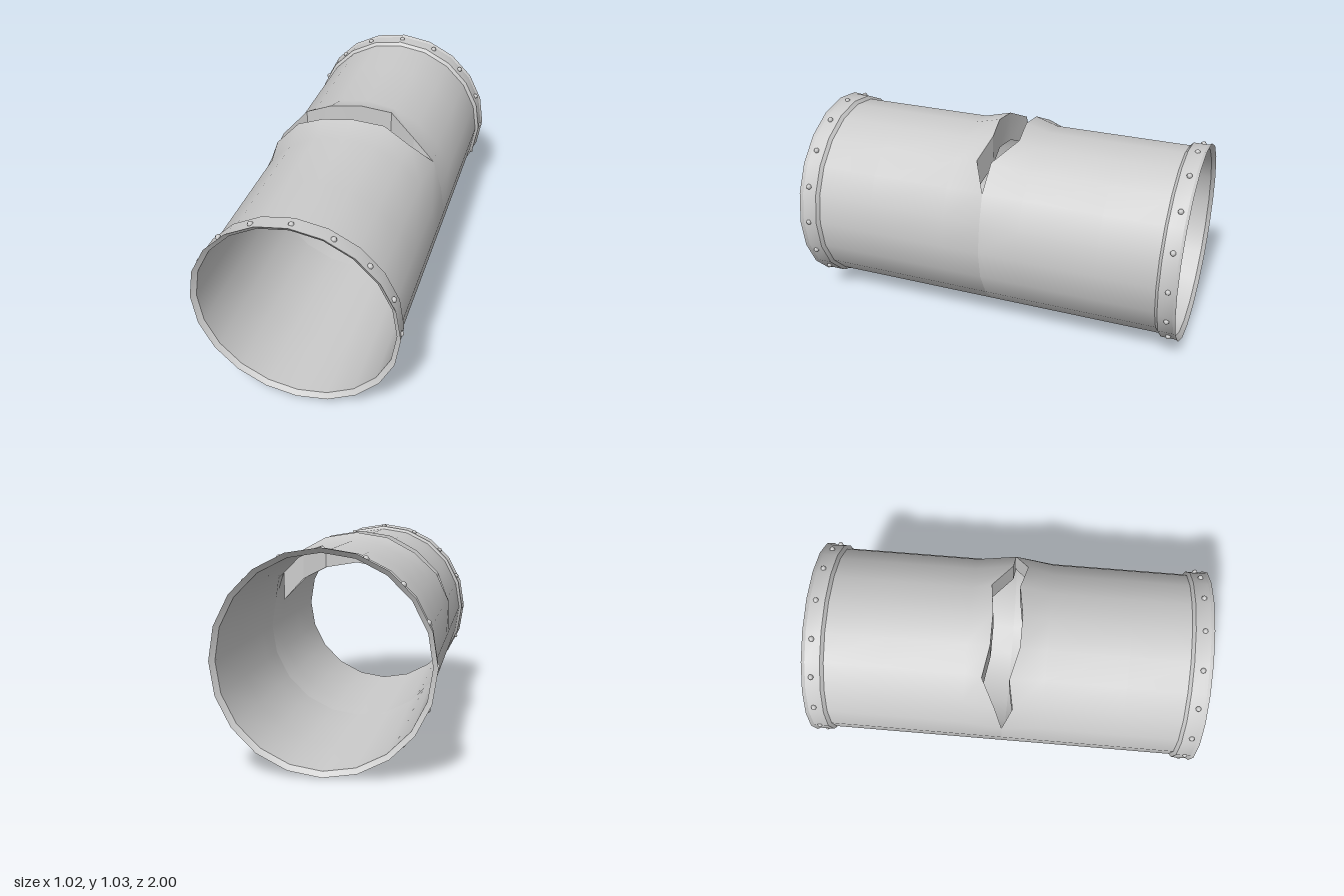
import * as THREE from 'three';
import { toCreasedNormals } from 'three/addons/utils/BufferGeometryUtils.js';

const SIDES = 20, R = 0.484, CY = 0.512, RIM = 0.508;
const STEP = (Math.PI * 2) / SIDES;

// Split across the top, one entry per column: [column, front z, back z, radius]
const SPLIT = [
  [-4, 0, 0, 0.503],
  [-3, 0.05, -0.04, 0.515],
  [-2, 0.025, -0.11, 0.518],
  [-1, 0.065, -0.08, 0.518],
  [0, 0.065, -0.08, 0.518],
  [1, 0.04, -0.1, 0.518],
  [2, 0.07, -0.005, 0.518],
  [3, 0, 0, 0.512],
];
const FLAP_DROP = 0.157;

const onRing = (col, r, z) => [Math.sin(col * STEP) * r, Math.cos(col * STEP) * r, z];

// Grid of points (rows run from +z to -z, or downwards) to an indexed surface
function gridGeometry(rows, closed) {
  const n = rows[0].length;
  const index = [];
  for (let i = 0; i < rows.length - 1; i++) {
    for (let j = 0; j < (closed ? n : n - 1); j++) {
      const k = (j + 1) % n;
      const a = i * n + j, b = i * n + k, c = (i + 1) * n + j, d = (i + 1) * n + k;
      index.push(a, b, c, b, d, c);
    }
  }
  const g = new THREE.BufferGeometry();
  g.setAttribute('position', new THREE.Float32BufferAttribute(rows.flat(2), 3));
  g.setIndex(index);
  g.computeVertexNormals();
  return g;
}

export function createModel() {
  const group = new THREE.Group();
  const material = new THREE.MeshStandardMaterial({ color: 0xcccccc, side: THREE.DoubleSide });
  const add = (name, geometry, parent = group) => {
    const mesh = new THREE.Mesh(geometry, material);
    mesh.name = name;
    parent.add(mesh);
    return mesh;
  };

  const pipe = new THREE.Group();
  pipe.name = 'pipe';
  pipe.position.y = CY;
  group.add(pipe);

  // Pipe halves, meeting at the split with raised, jagged lips
  const columns = Array.from({ length: SIDES }, (_, i) => i - SIDES / 2);
  const ring = (z) => columns.map((c) => onRing(c, R, z));
  const lip = (side) => columns.map((c) => {
    const s = SPLIT.find((e) => e[0] === c);
    return s ? onRing(c, s[3], s[side]) : onRing(c, R, 0);
  });
  add('frontShell', gridGeometry([ring(0.98), ring(0.6), ring(0.2), lip(1)], true), pipe);
  add('backShell', gridGeometry([lip(2), ring(-0.2), ring(-0.6), ring(-0.98)], true), pipe);

  // Torn edges folded straight down into the pipe
  for (const [name, side] of [['frontTornEdge', 1], ['backTornEdge', 2]]) {
    const top = SPLIT.map((s) => onRing(s[0], s[3], s[side]));
    const bottom = top.map(([x, y, z]) => [x, y - FLAP_DROP, z]);
    const rows = side === 1 ? [bottom, top] : [top, bottom];
    add(name, toCreasedNormals(gridGeometry(rows, false), 0.3), pipe);
  }

  // Riveted collar with a flared mouth at each end
  const profile = [[R, 0.895], [0.5, 0.91], [0.5, 0.985], [RIM, 1], [R, 0.98]]
    .map(([r, z]) => new THREE.Vector2(r, z));
  const collarGeometry = toCreasedNormals(
    new THREE.LatheGeometry(profile, SIDES).rotateX(Math.PI / 2), 0.4);
  const rivetGeometry = new THREE.SphereGeometry(0.014, 8, 6);
  for (const [name, turn] of [['frontCollar', 0], ['backCollar', Math.PI]]) {
    const collar = new THREE.Group();
    collar.name = name;
    collar.rotation.y = turn;
    pipe.add(collar);
    add('collarBand', collarGeometry, collar);
    for (let i = 0; i < 16; i++) {
      const a = (i / 16) * Math.PI * 2;
      add('rivet', rivetGeometry, collar)
        .position.set(Math.sin(a) * 0.497, Math.cos(a) * 0.497, 0.955);
    }
  }
  return group;
}
